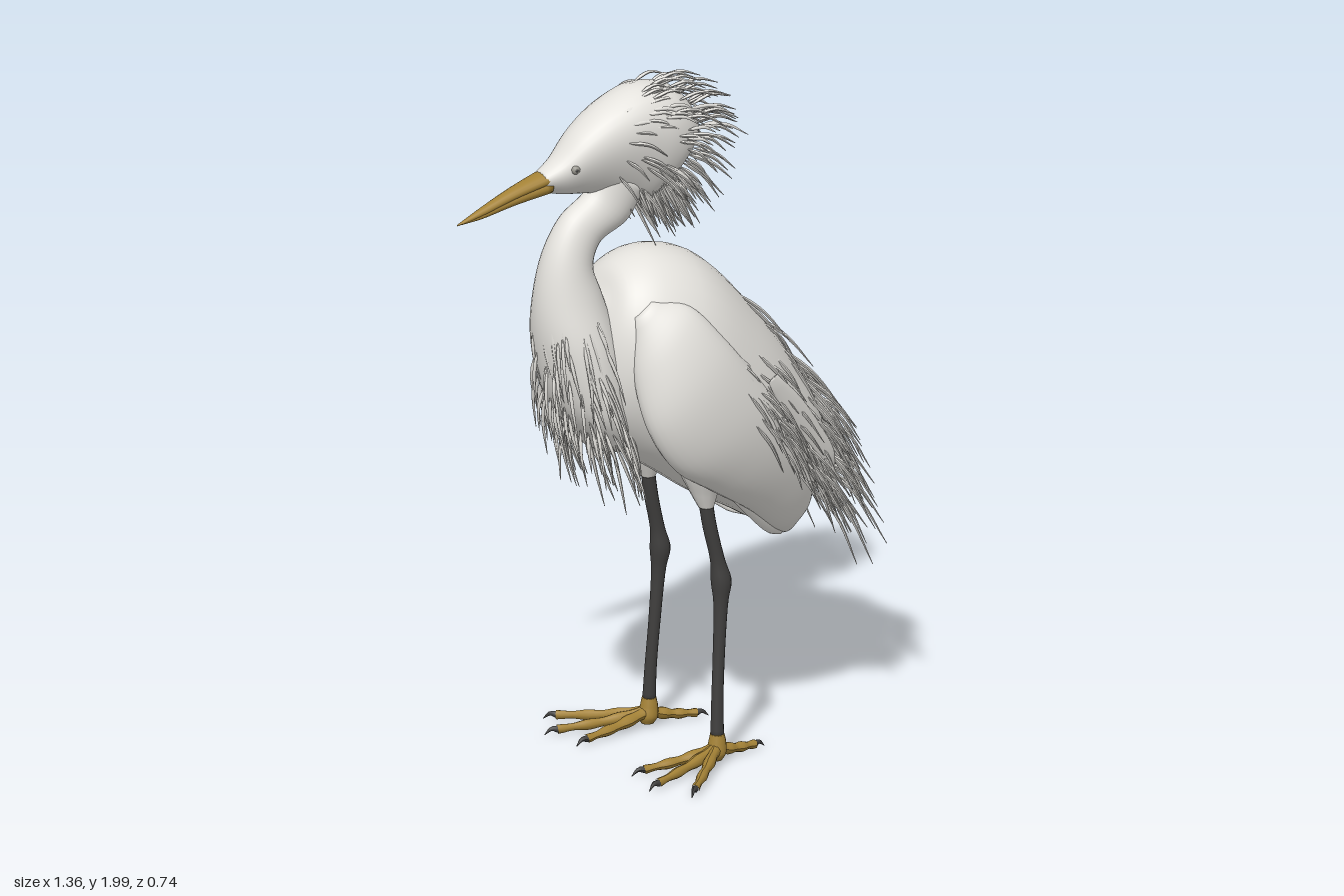
import * as THREE from 'three';
import { mergeGeometries } from 'three/addons/utils/BufferGeometryUtils.js';

const mat = (name, color) => {
  const m = new THREE.MeshStandardMaterial({ color });
  m.name = name;
  return m;
};
const V = (x, y, z = 0) => new THREE.Vector3(x, y, z);

let seed = 7;
const rnd = (a = 0, b = 1) => {
  seed = (seed * 16807) % 2147483647;
  return a + (b - a) * (seed / 2147483647);
};

// Smooth surface through rows of [topX, topY, bottomX, bottomY, halfWidth, centreZ]; egg narrows the underside
function surface(rows, egg = 0) {
  const top = new THREE.CatmullRomCurve3(rows.map(r => V(r[0], r[1], r[4])));
  const low = new THREE.CatmullRomCurve3(rows.map(r => V(r[2], r[3], r[5] || 0)));
  return (t, a, s = 1) => {
    const p = top.getPoint(t), q = low.getPoint(t), c = Math.cos(a), k = c * s / 2;
    return V((p.x + q.x) / 2 + (p.x - q.x) * k, (p.y + q.y) / 2 + (p.y - q.y) * k,
      q.z + p.z * Math.sin(a) * s * (1 + egg * c));
  };
}

// Closed skin over a surface, with flat end caps
function loft(f, around = 28, along = 40) {
  const pos = [], idx = [];
  for (let i = -1; i <= along + 1; i++) {
    const t = Math.min(1, Math.max(0, i / along)), s = i < 0 || i > along ? 0 : 1;
    for (let j = 0; j < around; j++) pos.push(...f(t, j / around * Math.PI * 2, s).toArray());
  }
  for (let i = 0; i < along + 2; i++) for (let j = 0; j < around; j++) {
    const k = (j + 1) % around, a = i * around + j, b = i * around + k;
    idx.push(a, b, a + around, b, b + around, a + around);
  }
  const g = new THREE.BufferGeometry();
  g.setAttribute('position', new THREE.Float32BufferAttribute(pos, 3));
  g.setIndex(idx);
  g.computeVertexNormals();
  return g;
}

// Tapered tube through points; radius(u) gives the thickness
function strand(points, radius, segs = 8, sides = 5) {
  const curve = new THREE.CatmullRomCurve3(points);
  const g = new THREE.TubeGeometry(curve, segs, 1, sides);
  const p = g.attributes.position, v = V(0, 0);
  for (let i = 0; i < p.count; i++) {
    const u = Math.floor(i / (sides + 1)) / segs, c = curve.getPointAt(u);
    v.fromBufferAttribute(p, i).sub(c).multiplyScalar(radius(u)).add(c);
    p.setXYZ(i, v.x, v.y, v.z);
  }
  g.deleteAttribute('uv');
  g.computeVertexNormals();
  return g;
}

// Flat pointed feather from (x0,y0,z0) to (x1,y1,z1)
function feather(x0, y0, z0, x1, y1, z1, h) {
  const l = Math.hypot(x1 - x0, y1 - y0), nx = -(y1 - y0) / l, ny = (x1 - x0) / l;
  const rows = [[0, 0.5], [0.3, 1], [0.65, 1], [0.9, 0.75], [1, 0.15]].map(([u, k]) => {
    const x = x0 + (x1 - x0) * u, y = y0 + (y1 - y0) * u, d = h * k;
    return [x + nx * d, y + ny * d, x - nx * d, y - ny * d, 0.012 * k, z0 + (z1 - z0) * u];
  });
  return loft(surface(rows), 10, 12);
}

const bodySkin = surface([
  [-0.21, 1.40, -0.24, 1.36, 0.03], [-0.16, 1.47, -0.27, 1.20, 0.13], [-0.06, 1.50, -0.25, 1.05, 0.20],
  [0.08, 1.46, -0.16, 0.93, 0.245], [0.25, 1.29, -0.03, 0.83, 0.25], [0.39, 1.10, 0.08, 0.75, 0.225],
  [0.48, 0.94, 0.20, 0.68, 0.18], [0.48, 0.78, 0.28, 0.63, 0.13], [0.43, 0.66, 0.34, 0.60, 0.08]]);
const neckSkin = surface([
  [-0.25, 0.95, -0.13, 0.95, 0.09], [-0.36, 1.10, -0.14, 1.03, 0.14], [-0.41, 1.27, -0.17, 1.24, 0.135],
  [-0.415, 1.42, -0.22, 1.41, 0.092], [-0.385, 1.55, -0.245, 1.49, 0.068], [-0.33, 1.64, -0.22, 1.55, 0.058],
  [-0.25, 1.70, -0.13, 1.595, 0.056], [-0.22, 1.77, -0.07, 1.68, 0.058]]);
const headSkin = surface([
  [-0.41, 1.787, -0.41, 1.733, 0.03], [-0.36, 1.82, -0.34, 1.712, 0.047], [-0.29, 1.89, -0.27, 1.70, 0.07],
  [-0.20, 1.95, -0.20, 1.685, 0.088], [-0.09, 1.985, -0.13, 1.66, 0.10], [0.01, 1.965, -0.07, 1.64, 0.103],
  [0.08, 1.89, -0.03, 1.66, 0.085], [0.10, 1.82, 0.02, 1.72, 0.045]], 0.32);
const wingSkin = s => surface([
  [-0.14, 1.40, -0.19, 1.36, 0.02, 0.15], [-0.04, 1.38, -0.21, 1.20, 0.065, 0.18], [0.05, 1.28, -0.19, 1.05, 0.078, 0.215],
  [0.16, 1.14, -0.11, 0.92, 0.08, 0.22], [0.27, 1.00, 0.03, 0.82, 0.07, 0.20], [0.37, 0.85, 0.18, 0.72, 0.05, 0.16],
  [0.41, 0.69, 0.29, 0.63, 0.03, 0.11], [0.38, 0.61, 0.34, 0.595, 0.015, 0.075]].map(r => [...r.slice(0, 5), r[5] * s]));

export function createModel() {
  const bird = new THREE.Group();
  bird.name = 'wadingBird';
  const white = mat('plumage white', 0xe4e2dd);
  const gold = mat('bill gold', 0xa48236);
  const dark = mat('leg charcoal', 0x403f3e);
  const grey = mat('eye grey', 0x9a9890);
  const add = (name, geo, m) => {
    const mesh = new THREE.Mesh(geo, m);
    mesh.name = name;
    bird.add(mesh);
    return mesh;
  };

  add('body', loft(bodySkin, 40), white);
  add('neck', loft(neckSkin, 32), white);
  add('head', loft(headSkin, 32), white);

  // Bill, tip to base
  add('upperBill', loft(surface([[-0.68, 1.692, -0.68, 1.688, 0.003], [-0.60, 1.725, -0.60, 1.702, 0.014],
    [-0.50, 1.762, -0.50, 1.728, 0.024], [-0.385, 1.795, -0.385, 1.752, 0.037]]), 16, 20), gold);
  add('lowerBill', loft(surface([[-0.665, 1.694, -0.665, 1.689, 0.003], [-0.60, 1.716, -0.60, 1.694, 0.013],
    [-0.50, 1.748, -0.50, 1.711, 0.023], [-0.385, 1.778, -0.385, 1.724, 0.036]]), 16, 20), gold);

  // Loose plumes on a skin: flow(a) is the heading, pinch draws them to the midline, flare lifts the tips
  const hair = u => 0.006 * Math.min(1, 0.2 + 4 * u) * (1 - 0.85 * u * u);
  const plumes = (name, f, count, t0, t1, pickA, flow, l0, l1, flare, droop, pinch) => {
    const list = [];
    for (let i = 0; i < count; i++) {
      const t = rnd(t0, t1), a = pickA(), p = f(t, a, 0.98), out = p.clone().sub(f(t, a, 0)).normalize();
      const l = rnd(l0, l1), h = flow(a) + rnd(-0.14, 0.14);
      const dir = V(Math.cos(h), Math.sin(h), rnd(-0.1, 0.1) - pinch * p.z / 0.2);
      const mid = p.clone().addScaledVector(dir, l * 0.5).addScaledVector(out, 0.006 + flare * 0.6);
      const tip = p.clone().addScaledVector(dir, l).addScaledVector(out, flare);
      tip.y = Math.min(tip.y - droop * l, 1.995);
      mid.y = Math.min(mid.y, 1.99);
      list.push(strand([p, mid, tip], hair));
    }
    add(name, mergeGeometries(list), white);
  };
  const crestFlow = a => -0.5 + 0.5 * Math.cos(a);
  plumes('crestPlumes', headSkin, 150, 0.45, 0.97, () => rnd(-2.5, 2.5), crestFlow, 0.08, 0.16, 0.012, 0.2, 0.15);
  plumes('napePlumes', headSkin, 45, 0.62, 0.95, () => rnd(2.3, 4), () => -0.95, 0.08, 0.16, 0, 0.12, 0.4);
  plumes('breastPlumes', neckSkin, 80, 0.06, 0.38, () => rnd(-1.8, 1.8), () => -1.36, 0.12, 0.22, 0.022, 0, -0.05);
  plumes('lowerBreastPlumes', neckSkin, 26, 0, 0.1, () => rnd(0, 6.28), () => -1.25, 0.14, 0.25, 0, 0, 0);
  plumes('backPlumes', bodySkin, 130, 0.46, 0.85, () => rnd(-1.5, 1.5), () => -0.93, 0.16, 0.28, 0.012, 0.06, 0.06);
  plumes('rumpPlumes', bodySkin, 45, 0.72, 0.9, () => rnd(-1.4, 1.2), () => -0.88, 0.16, 0.3, 0.02, 0.2, 0.05);

  // Tail fan
  const tail = [];
  for (let i = -3; i <= 3; i++) {
    const k = Math.abs(i);
    tail.push(feather(0.28, 0.80, i * 0.025, 0.41 - k * 0.022, 0.585 + k * 0.006, i * 0.03, 0.035));
  }
  add('tailFeathers', mergeGeometries(tail), white);

  for (const s of [1, -1]) {
    const side = s > 0 ? 'left' : 'right';
    const wing = wingSkin(s);
    add(side + 'Wing', loft(wing, 32), white);
    plumes(side + 'WingPlumes', wing, 60, 0.28, 0.8, () => s * rnd(0.1, 1.2), () => -0.98, 0.14, 0.25, 0.006, 0.06, 0.1);

    // Overlapping flight feathers
    const quills = [];
    for (let k = 0; k < 5; k++) {
      quills.push(feather(0.05 * k, 0.93 + k * 0.05, s * 0.245, 0.33 + k * 0.03, 0.60 + k * 0.05, s * (0.09 + k * 0.02), 0.035));
    }
    add(side + 'FlightFeathers', mergeGeometries(quills), white);

    // Thigh and leg, top to bottom: [x, y, radius, z]
    const limb = list => loft(surface(list.map(([x, y, r, z]) => [x + r, y, x - r, y, r, z * s])), 14, 32);
    add(side + 'Thigh', limb([[0.06, 0.98, 0.10, 0.14], [0.04, 0.88, 0.075, 0.14], [0.04, 0.80, 0.04, 0.143], [0.045, 0.755, 0.022, 0.145]]), white);
    add(side + 'Leg', limb([[0.04, 0.80, 0.02, 0.143], [0.055, 0.70, 0.02, 0.146], [0.08, 0.59, 0.021, 0.15], [0.09, 0.53, 0.029, 0.152],
      [0.087, 0.47, 0.021, 0.155], [0.077, 0.32, 0.017, 0.16], [0.068, 0.18, 0.017, 0.166], [0.065, 0.08, 0.019, 0.17]]), dark);
    add(side + 'Ankle', limb([[0.065, 0.09, 0.02, 0.17], [0.065, 0.065, 0.025, 0.17], [0.062, 0.035, 0.028, 0.17], [0.06, 0.015, 0.018, 0.17]]), gold);

    // Toes with knuckles and claws
    const toes = [], claws = [];
    for (const [x, z] of [[-0.125, 0.345], [-0.185, 0.25], [-0.16, 0.142], [0.205, 0.145]]) {
      const a = V(0.062, 0.048, 0.17 * s), b = V(x, 0.021, z * s);
      const m = a.clone().lerp(b, 0.45).setY(0.031), d = b.clone().sub(a).setY(0).normalize();
      toes.push(strand([a, m, b], u => 0.018 - 0.007 * u + 0.002 * Math.cos(u * 19), 16, 9));
      const k = b.clone().addScaledVector(d, 0.016).setY(0.024), e = b.clone().addScaledVector(d, 0.036).setY(0.008);
      claws.push(strand([b.clone().addScaledVector(d, -0.004), k, e], u => 0.0105 * (1 - 0.9 * u), 6, 7));
    }
    add(side + 'Toes', mergeGeometries(toes), gold);
    add(side + 'Claws', mergeGeometries(claws), dark);

    // Eye
    const eye = add(side + 'Eye', new THREE.SphereGeometry(0.014, 18, 12), grey);
    eye.position.set(-0.325, 1.797, s * 0.052);
    const pupil = add(side + 'Pupil', new THREE.SphereGeometry(0.006, 14, 10), dark);
    pupil.position.set(-0.327, 1.797, s * 0.0615);
  }
  return bird;
}
